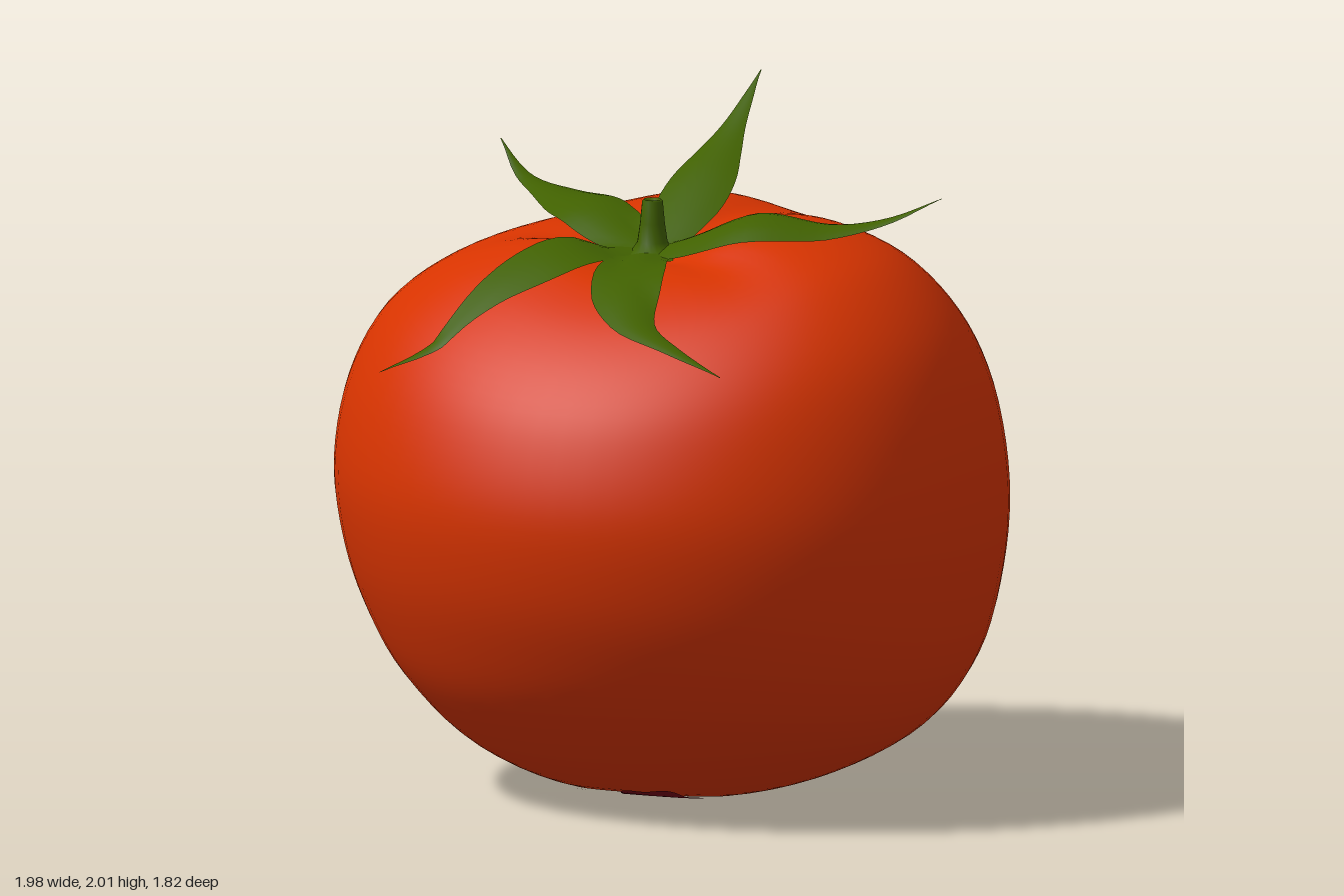
import * as THREE from 'three';

const red = new THREE.MeshStandardMaterial({ color: 0xd63300 });
red.name = 'tomatoRed';
const green = new THREE.MeshStandardMaterial({ color: 0x406000, side: THREE.DoubleSide });
green.name = 'leafGreen';
const dark = new THREE.MeshStandardMaterial({ color: 0x780018 });
dark.name = 'darkBlemish';

// Four profiles from the base centre, over the shoulder, into the stem dimple
const profile = (pts) => new THREE.SplineCurve(pts.map(([r, y]) => new THREE.Vector2(r, y)));
const leftSide = profile([[0, 0], [.25, .01], [.52, .09], [.76, .23], [.9, .42], [.967, .66], [.987, .92],
  [.95, 1.2], [.86, 1.42], [.7, 1.59], [.5, 1.67], [.3, 1.68], [.12, 1.62], [-.02, 1.56]]);
const rightSide = profile([[0, 0], [-.3, .015], [-.6, .16], [-.8, .37], [-.91, .57], [-.97, .77], [-.99, .97],
  [-.95, 1.2], [-.84, 1.4], [-.66, 1.54], [-.46, 1.62], [-.3, 1.63], [-.16, 1.59], [-.02, 1.56]]);
const frontSide = profile([[0, 0], [.28, .035], [.5, .14], [.7, .33], [.82, .53], [.89, .73], [.907, .95],
  [.845, 1.17], [.745, 1.325], [.6, 1.46], [.44, 1.55], [.32, 1.575], [.2, 1.57], [.1, 1.56]]);
const backSide = profile([[0, 0], [-.28, .015], [-.5, .1], [-.7, .25], [-.83, .45], [-.893, .68], [-.9, .93],
  [-.825, 1.19], [-.7, 1.41], [-.55, 1.57], [-.38, 1.68], [-.2, 1.71], [-.02, 1.65], [.1, 1.56]]);
const SPANS = 13;

// Soft bump around an angle given in degrees
function bump(a, deg, width) {
  const c = deg * Math.PI / 180;
  const d = Math.atan2(Math.sin(a - c), Math.cos(a - c)) * 180 / Math.PI;
  return Math.exp(-(d * d) / (width * width));
}

// Point on the fruit: k runs along the profile, a runs around it
function fruitPoint(k, a) {
  const s = k / SPANS, c = Math.cos(a), n = Math.sin(a);
  const [l, r, f, b] = [leftSide, rightSide, frontSide, backSide].map((p) => p.getPoint(s));
  const yx = (l.y + r.y) / 2 + (l.y - r.y) / 2 * c;
  const yz = (f.y + b.y) / 2 + (f.y - b.y) / 2 * n;
  // shallow creases running out of the dimple
  const fade = Math.exp(-((k - 10.8) ** 2) / 1.6);
  const crease = .025 * fade * (bump(a, -62, 14) + bump(a, 172, 14) + bump(a, 50, 14));
  return new THREE.Vector3((l.x + r.x) / 2 + (l.x - r.x) / 2 * c,
    yx * c * c + yz * n * n - crease,
    (f.x + b.x) / 2 + (f.x - b.x) / 2 * n);
}

// Closed band of the fruit surface between two profile limits
function fruitBand(from, to, rows, cols, lift = 0) {
  const pos = [], idx = [];
  for (let i = 0; i <= rows; i++) {
    for (let j = 0; j < cols; j++) {
      const a = j / cols * Math.PI * 2;
      const p = fruitPoint(THREE.MathUtils.lerp(from(a), to(a), i / rows), a);
      pos.push(p.x, p.y, p.z);
      if (i === rows) continue;
      const q = i * cols + j, q2 = i * cols + (j + 1) % cols;
      idx.push(q, q + cols, q2, q2, q + cols, q2 + cols);
    }
  }
  const g = new THREE.BufferGeometry();
  g.setAttribute('position', new THREE.Float32BufferAttribute(pos, 3));
  g.setIndex(idx);
  g.computeVertexNormals();
  if (lift) {
    const p = g.attributes.position, n = g.attributes.normal;
    for (let i = 0; i < p.count; i++) {
      p.setXYZ(i, p.getX(i) + n.getX(i) * lift, p.getY(i) + n.getY(i) * lift, p.getZ(i) + n.getZ(i) * lift);
    }
  }
  return g;
}

// Pointed leaf swept along a path, kept just above the fruit
function leafGeometry(points, width, heightAt) {
  const path = new THREE.CatmullRomCurve3(points.map((p) => new THREE.Vector3(...p)));
  const half = new THREE.SplineCurve([.65, .82, 1, .95, .66, .36, .17, .015].map((w, i) => new THREE.Vector2(i, w)));
  const up = new THREE.Vector3(0, 1, .25).normalize();
  const rows = 24, cols = 6, pos = [], idx = [];
  for (let i = 0; i <= rows; i++) {
    const t = i / rows, c = path.getPointAt(t);
    const side = path.getTangentAt(t).cross(up).normalize();
    const w = half.getPoint(t).y * width;
    for (let j = 0; j <= cols; j++) {
      const u = j / cols * 2 - 1;
      const p = c.clone().addScaledVector(side, u * w);
      p.y -= .2 * w * u * u;
      p.y = Math.max(p.y, heightAt(p.x, p.z) + .014);
      pos.push(p.x, p.y, p.z);
      if (i === rows || j === cols) continue;
      const q = i * (cols + 1) + j;
      idx.push(q, q + 1, q + cols + 1, q + 1, q + cols + 2, q + cols + 1);
    }
  }
  const g = new THREE.BufferGeometry();
  g.setAttribute('position', new THREE.Float32BufferAttribute(pos, 3));
  g.setIndex(idx);
  g.computeVertexNormals();
  return g;
}

export function createModel() {
  const model = new THREE.Group();
  model.name = 'tomato';
  const add = (name, geometry, material, parent = model) => {
    const mesh = new THREE.Mesh(geometry, material);
    mesh.name = name;
    parent.add(mesh);
    return mesh;
  };

  // Fruit
  const fruit = add('fruit', fruitBand(() => 0, () => SPANS, 65, 72), red);

  // Ragged dark patch underneath and a small one in the dimple
  const ragged = (a) => .85 + .65 * bump(a, 71, 17) + .65 * bump(a, -30, 22) + .95 * bump(a, 222, 42)
    + .5 * bump(a, 163, 17) + .1 * Math.sin(9 * a) + .08 * Math.sin(17 * a + 1);
  add('baseBlemish', fruitBand(() => 0, ragged, 10, 144, .005), dark);
  add('dimpleBlemish', fruitBand((a) => 12.3 - .4 * bump(a, 235, 30), () => SPANS, 4, 48, .004), dark);

  // Height of the fruit below a point
  const ray = new THREE.Raycaster();
  const down = new THREE.Vector3(0, -1, 0);
  const heightAt = (x, z) => {
    ray.set(new THREE.Vector3(x, 3, z), down);
    const hit = ray.intersectObject(fruit)[0];
    return hit ? hit.point.y : -1;
  };

  // Calyx of five leaves
  const calyx = new THREE.Group();
  calyx.name = 'calyx';
  model.add(calyx);
  const root = [-.02, 1.6, .1];
  const leaves = {
    backLeaf: [root, [.005, 1.69, -.05], [.01, 1.77, -.2], [.01, 1.87, -.42], [.01, 2, -.64]],
    leftLeaf: [root, [.1, 1.64, .125], [.3, 1.715, .135], [.53, 1.7, .08], [.68, 1.725, .02], [.83, 1.79, -.03]],
    frontLeftLeaf: [root, [0, 1.6, .28], [.05, 1.56, .47], [.15, 1.49, .64], [.3, 1.44, .725], [.47, 1.38, .775]],
    frontRightLeaf: [root, [-.14, 1.6, .21], [-.24, 1.57, .35], [-.36, 1.51, .475], [-.49, 1.375, .615],
      [-.61, 1.31, .74]],
    backRightLeaf: [root, [-.14, 1.64, .045], [-.27, 1.69, -.05], [-.43, 1.69, -.175], [-.6, 1.71, -.31],
      [-.7, 1.79, -.39]],
  };
  for (const [name, path] of Object.entries(leaves)) {
    add(name, leafGeometry(path, .104, heightAt), green, calyx);
  }

  // Stem stub with flared foot and hollow tip
  const stem = add('stem', new THREE.LatheGeometry([[.11, .025], [.06, .04], [.044, .065], [.036, .12], [.03, .185],
    [.025, .19], [.016, .18], [.012, .16], [0, .155]].map(([r, y]) => new THREE.Vector2(r, y)), 20), green, calyx);
  stem.position.set(-.02, 1.56, .105);

  return model;
}
